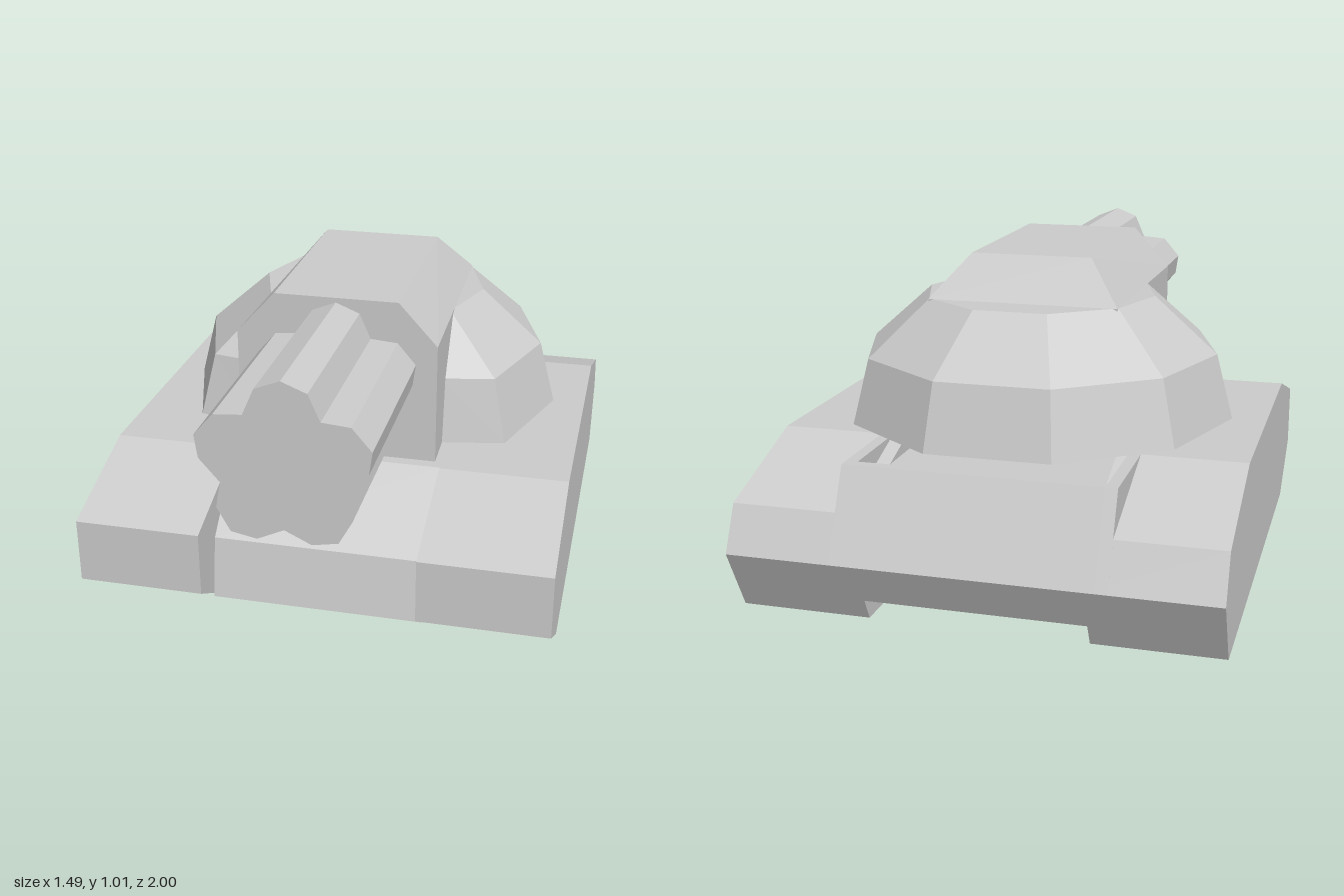
import * as THREE from 'three';
import { ConvexGeometry } from 'three/addons/geometries/ConvexGeometry.js';

const material = new THREE.MeshStandardMaterial({ color: 0xcccccc, flatShading: true });

function addPart(group, name, geometry) {
  const mesh = new THREE.Mesh(geometry, material);
  mesh.name = name;
  group.add(mesh);
}

// Extrudes a side profile of [z, y] points across x, from x0 to x1
function sideExtrude(profile, x0, x1) {
  const shape = new THREE.Shape(profile.map(([z, y]) => new THREE.Vector2(z, y)));
  const geometry = new THREE.ExtrudeGeometry(shape, { depth: x1 - x0, bevelEnabled: false });
  return geometry.rotateY(-Math.PI / 2).translate(x1, 0, 0);
}

// Convex solid from a list of [x, y, z] corners
function convex(corners) {
  return new ConvexGeometry(corners.map((c) => new THREE.Vector3(...c)));
}

export function createModel() {
  const tank = new THREE.Group();
  tank.name = 'tank';
  const hullLeft = 0.335, hullRight = -0.345;

  // Tracks, raised rims beside the engine deck, and sloped flanks under the nose
  const trackProfile = [[0.77, 0.35], [0.39, 0.47], [-0.555, 0.47], [-0.935, 0.34],
    [-1, 0.2], [-0.9, 0], [0.53, 0], [0.77, 0.142]];
  const rimProfile = [[-0.5, 0.47], [-0.875, 0.47], [-1, 0.2], [-0.5, 0.2]];
  for (const [side, s, inner] of [['left', 1, hullLeft], ['right', -1, hullRight]]) {
    const span = (a, b) => [Math.min(a, b), Math.max(a, b)];
    addPart(tank, side + 'Track', sideExtrude(trackProfile, ...span(inner, s * 0.745)));
    addPart(tank, side + 'DeckRim', sideExtrude(rimProfile, ...span(s * 0.38, s * 0.417)));
    addPart(tank, side + 'NoseFlank', convex([
      [inner, 0.07, -0.1], [inner, 0.07, 0.62], [inner, 0.25, 0.58], [inner, 0.38, 0.36],
      [inner, 0.38, 0], [s * 0.06, 0.38, 0.36], [s * 0.06, 0.38, 0],
    ]));
  }

  // Engine deck: sunken behind a raised rear lip
  addPart(tank, 'engineDeck', sideExtrude([
    [-0.5, 0.42], [-0.84, 0.42], [-0.84, 0.47], [-0.875, 0.47], [-1, 0.2], [-0.5, 0.2],
  ], -0.38, 0.38));

  // Hull: sloped front plate, hollow under the nose
  addPart(tank, 'hull', sideExtrude([
    [-0.5, 0.42], [0.365, 0.42], [0.365, 0.47], [0.385, 0.47],
    [0.62, 0.26], [0.655, 0.062], [0.62, 0.062], [0.58, 0.25], [0.36, 0.38],
    [0, 0.38], [-0.1, 0.07], [-0.935, 0.07], [-1, 0.2], [-0.5, 0.2],
  ], hullRight, hullLeft));

  // Turret dome: ten-sided, with its front pair of corners pulled back beside the gun housing
  const domeProfile = [[0, 0.49], [0.64, 0.49], [0.585, 0.7], [0.38, 0.88], [0, 0.88]]
    .map(([r, y]) => new THREE.Vector2(r, y));
  const dome = new THREE.LatheGeometry(domeProfile, 10, Math.PI / 2);
  const pos = dome.attributes.position;
  for (let i = 0; i < pos.count; i++) {
    const x = pos.getX(i), z = pos.getZ(i);
    if (z > 0.1 && z > 0.9 * Math.hypot(x, z)) {
      pos.setX(i, Math.sign(x) * 0.305);
      pos.setZ(i, z * 0.75 - 0.04);
    }
  }
  addPart(tank, 'turretDome', dome.translate(0, 0, -0.17));

  // Gun housing: chamfered block with a sloped back
  const housingSide = [[0.32, 0.49, 0.385], [0.32, 0.88, 0.385], [0.197, 1.015, 0.385],
    [0.197, 1.015, -0.29], [0.307, 0.88, -0.405], [0.307, 0.49, -0.405]];
  addPart(tank, 'gunHousing', convex([...housingSide, ...housingSide.map(([x, y, z]) => [-x, y, z])]));

  // Barrel cluster: five-lobed section, right half mirrored to the left
  const half = [[0, 1], [0.075, 0.97], [0.11, 0.89], [0.195, 0.883], [0.253, 0.815], [0.243, 0.745],
    [0.182, 0.675], [0.197, 0.595], [0.157, 0.522], [0.08, 0.507], [0, 0.545]];
  const mirrored = half.slice(1, -1).reverse().map(([x, y]) => [-x, y]);
  const section = [...half, ...mirrored].map(([x, y]) => new THREE.Vector2(x, y));
  addPart(tank, 'barrelCluster', new THREE.ExtrudeGeometry(new THREE.Shape(section),
    { depth: 0.62, bevelEnabled: false }).translate(0, 0, 0.38));

  return tank;
}
